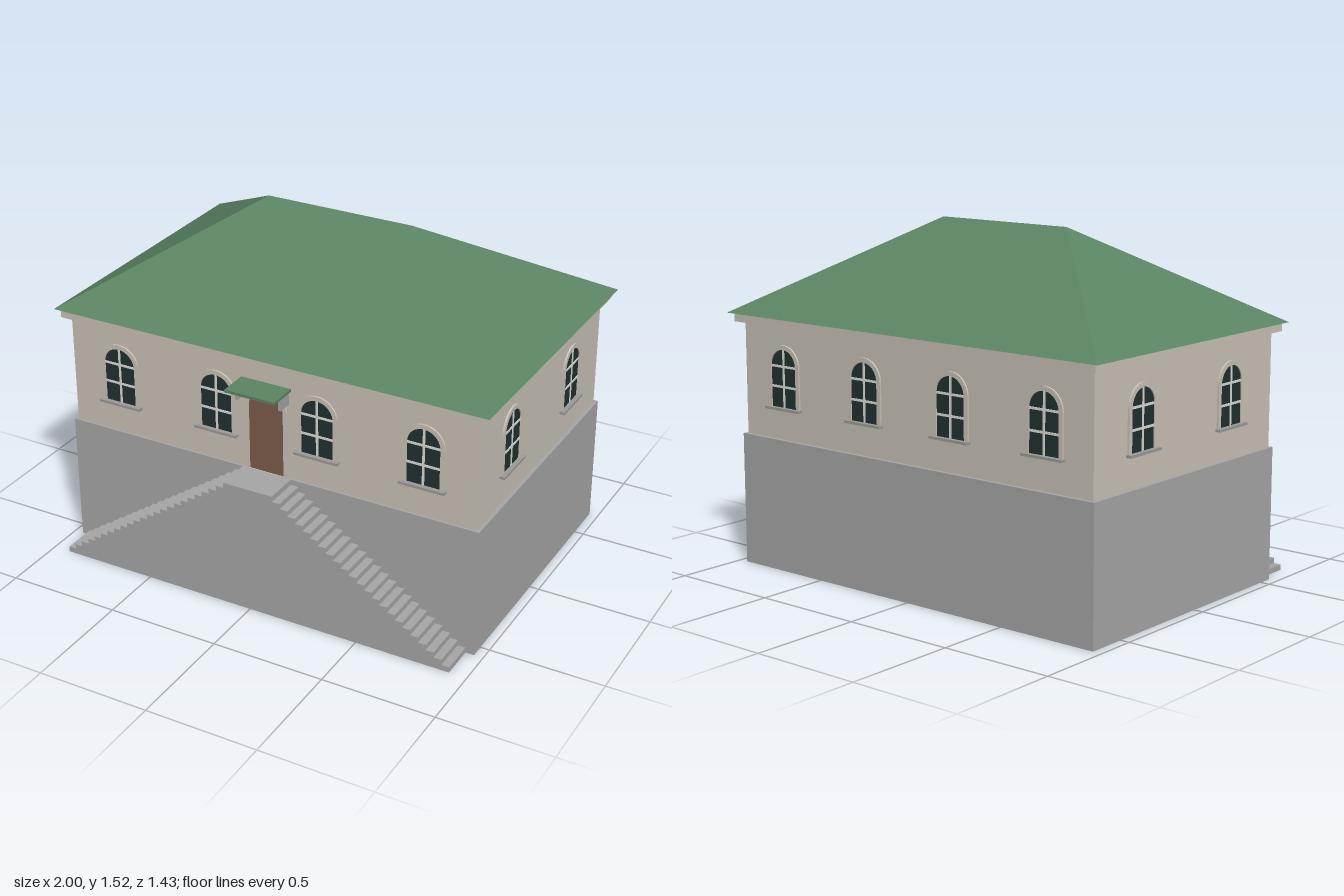
import * as THREE from 'three';

const mat = (name, color, side = THREE.FrontSide) => {
  const m = new THREE.MeshStandardMaterial({ color, side });
  m.name = name;
  return m;
};

export function createModel() {
  const house = new THREE.Group();
  house.name = 'house';
  const stone = mat('grey stone', 0xa6a6a6, THREE.DoubleSide);
  const plaster = mat('cream plaster', 0xc9c2b6);
  const roofGreen = mat('green roof', 0x5a8463);
  const wood = mat('brown wood', 0x7d5c49);
  const glass = mat('dark glass', 0x213030);
  const white = mat('white glazing bar', 0xdcdcd6);
  const sillGrey = mat('grey sill', 0x9a9a98);

  const add = (parent, name, geometry, material) => {
    const mesh = new THREE.Mesh(geometry, material);
    mesh.name = name;
    parent.add(mesh);
    return mesh;
  };
  // box given by its minimum and maximum on each axis
  const boxGeo = (x0, x1, y0, y1, z0, z1) =>
    new THREE.BoxGeometry(x1 - x0, y1 - y0, z1 - z0)
      .translate((x0 + x1) / 2, (y0 + y1) / 2, (z0 + z1) / 2);
  // the same box without its bottom face
  const openBoxGeo = (...b) => {
    const g = boxGeo(...b);
    const idx = Array.from(g.index.array);
    idx.splice(18, 6);
    g.setIndex(idx);
    g.clearGroups();
    return g;
  };
  const archPath = (path, half, y0, spring) => {
    path.moveTo(-half, y0);
    path.lineTo(half, y0);
    path.lineTo(half, spring);
    path.absarc(0, spring, half, 0, Math.PI, false);
    path.lineTo(-half, y0);
    return path;
  };
  // raised arched moulding round an opening
  const surroundGeo = (outer, inner, y0, spring) => {
    const s = archPath(new THREE.Shape(), outer, y0, spring);
    s.holes.push(archPath(new THREE.Path(), inner, y0 + 0.001, spring));
    return new THREE.ExtrudeGeometry(s, { depth: 0.008, bevelEnabled: false, curveSegments: 10 });
  };

  // basement, walls and cornice
  const G = 0.58;
  add(house, 'basement', openBoxGeo(-0.96, 0.96, 0, G, -0.676, 0.562), stone);
  add(house, 'walls', boxGeo(-0.945, 0.945, G + 0.001, 1.08, -0.661, 0.553), plaster);
  add(house, 'cornice', boxGeo(-0.976, 0.976, 1.073, 1.111, -0.696, 0.586), plaster);

  // hipped roof
  const [a, b, c, d, e, f] = [
    [-1, 1.111, 0.601], [1, 1.111, 0.601], [1, 1.111, -0.717], [-1, 1.111, -0.717],
    [-0.336, 1.517, -0.058], [0.336, 1.517, -0.058],
  ];
  const roofGeo = new THREE.BufferGeometry();
  roofGeo.setAttribute('position', new THREE.Float32BufferAttribute([
    a, b, f, a, f, e, // front slope
    c, d, e, c, e, f, // back slope
    b, c, f, d, a, e, // hips
    a, d, c, a, c, b, // underside
  ].flat(), 3));
  roofGeo.computeVertexNormals();
  add(house, 'roof', roofGeo, roofGreen);

  // arched windows, built facing +z with the wall face at z = 0
  const win = {
    surround: surroundGeo(0.093, 0.073, 0.72, 0.9),
    pane: new THREE.ShapeGeometry(archPath(new THREE.Shape(), 0.074, 0.72, 0.9), 8),
    upright: boxGeo(-0.005, 0.005, 0.72, 0.972, 0.001, 0.006),
    crossbars: [0.812, 0.9].map((y) => boxGeo(-0.073, 0.073, y - 0.005, y + 0.005, 0.001, 0.006)),
    sill: boxGeo(-0.101, 0.101, 0.711, 0.722, -0.005, 0.023),
  };
  const addWindow = (x, z, turn) => {
    const w = new THREE.Group();
    w.name = 'window';
    add(w, 'windowSurround', win.surround, plaster);
    add(w, 'windowPane', win.pane, glass).position.z = 0.003;
    add(w, 'windowUpright', win.upright, white);
    win.crossbars.forEach((g) => add(w, 'windowCrossbar', g, white));
    add(w, 'windowSill', win.sill, sillGrey);
    w.position.set(x, 0, z);
    w.rotation.y = turn;
    house.add(w);
  };
  for (const x of [-0.71, -0.236, 0.236, 0.71]) {
    addWindow(x, 0.553, 0);
    addWindow(x, -0.661, Math.PI);
  }
  for (const z of [0.25, -0.358]) {
    addWindow(0.945, z, Math.PI / 2);
    addWindow(-0.945, z, -Math.PI / 2);
  }

  // door with its canopy
  const door = new THREE.Group();
  door.name = 'door';
  door.position.z = 0.553;
  house.add(door);
  add(door, 'doorSurround', surroundGeo(0.097, 0.08, G + 0.001, 0.873), plaster);
  add(door, 'doorLeaf', new THREE.ShapeGeometry(
    archPath(new THREE.Shape(), 0.081, G + 0.001, 0.873), 8), wood).position.z = 0.004;
  add(door, 'canopy', boxGeo(-0.115, 0.115, 0.982, 0.994, 0, 0.132), roofGreen);
  for (const s of [-1, 1]) {
    add(door, 'canopyBracket', boxGeo(-0.006, 0.006, 0.922, 0.982, 0, 0.067), stone)
      .position.x = s * 0.1;
  }

  // landing and two solid flights of steps running down along the front
  add(house, 'landing', openBoxGeo(-0.115, 0.115, 0, G, 0.562, 0.716), stone);
  const risers = 24, rise = G / risers, going = (0.922 - 0.115) / (risers - 1);
  for (const s of [-1, 1]) {
    const flight = new THREE.Shape();
    flight.moveTo(s * 0.115, 0);
    for (let i = 1; i < risers; i++) {
      const y = G - i * rise;
      flight.lineTo(s * (0.115 + (i - 1) * going), y);
      flight.lineTo(s * (0.115 + i * going), y);
    }
    flight.lineTo(s * 0.922, 0);
    flight.closePath();
    const g = new THREE.ExtrudeGeometry(flight, { depth: 0.154, bevelEnabled: false });
    add(house, s > 0 ? 'leftStairs' : 'rightStairs', g, stone).position.z = 0.562;
  }
  return house;
}
